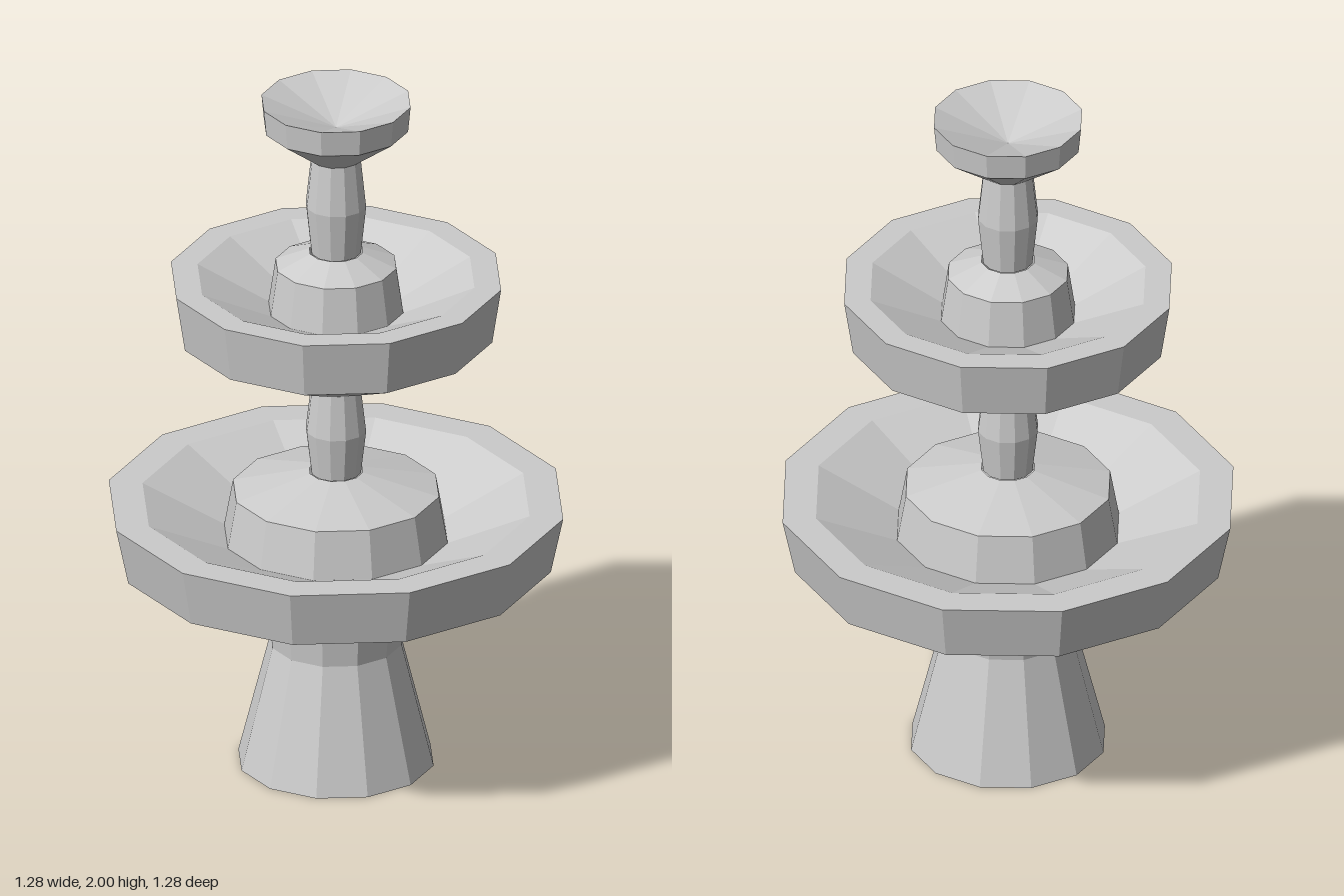
import * as THREE from 'three';

const SIDES = 12;

export function createModel() {
  const fountain = new THREE.Group();
  fountain.name = 'fountain';
  const stone = new THREE.MeshStandardMaterial({
    color: 0xcccccc, flatShading: true, side: THREE.DoubleSide,
  });

  // Turn a [radius, height] profile around the vertical axis
  function turned(name, profile) {
    const points = profile.map(([r, y]) => new THREE.Vector2(r, y));
    const mesh = new THREE.Mesh(new THREE.LatheGeometry(points, SIDES), stone);
    mesh.name = name;
    fountain.add(mesh);
  }

  // Slightly bulging column between two basins
  function stem(name, bottom, top) {
    turned(name, [[0.07, bottom], [0.085, (bottom + top) / 2], [0.07, top]]);
  }

  // Flared foot, open underneath
  turned('base', [[0.275, 0], [0.185, 0.36], [0.2, 0.515]]);

  // Large basin: underside, wall, flat rim, sloping inside
  turned('lowerBasin', [
    [0.2, 0.515], [0.605, 0.62], [0.64, 0.785], [0.545, 0.785], [0.31, 0.68],
  ]);
  turned('lowerPedestal', [[0.315, 0.68], [0.29, 0.82], [0.075, 0.875]]);
  stem('lowerStem', 0.873, 1.13);

  // Middle basin
  turned('middleBasin', [
    [0.07, 1.13], [0.44, 1.305], [0.465, 1.467], [0.39, 1.467], [0.185, 1.37],
  ]);
  turned('middlePedestal', [[0.19, 1.37], [0.17, 1.505], [0.075, 1.545]]);
  stem('upperStem', 1.543, 1.827);

  // Small top bowl with a conical hollow
  turned('topBowl', [[0.07, 1.827], [0.203, 1.925], [0.21, 2], [0, 1.92]]);

  return fountain;
}
